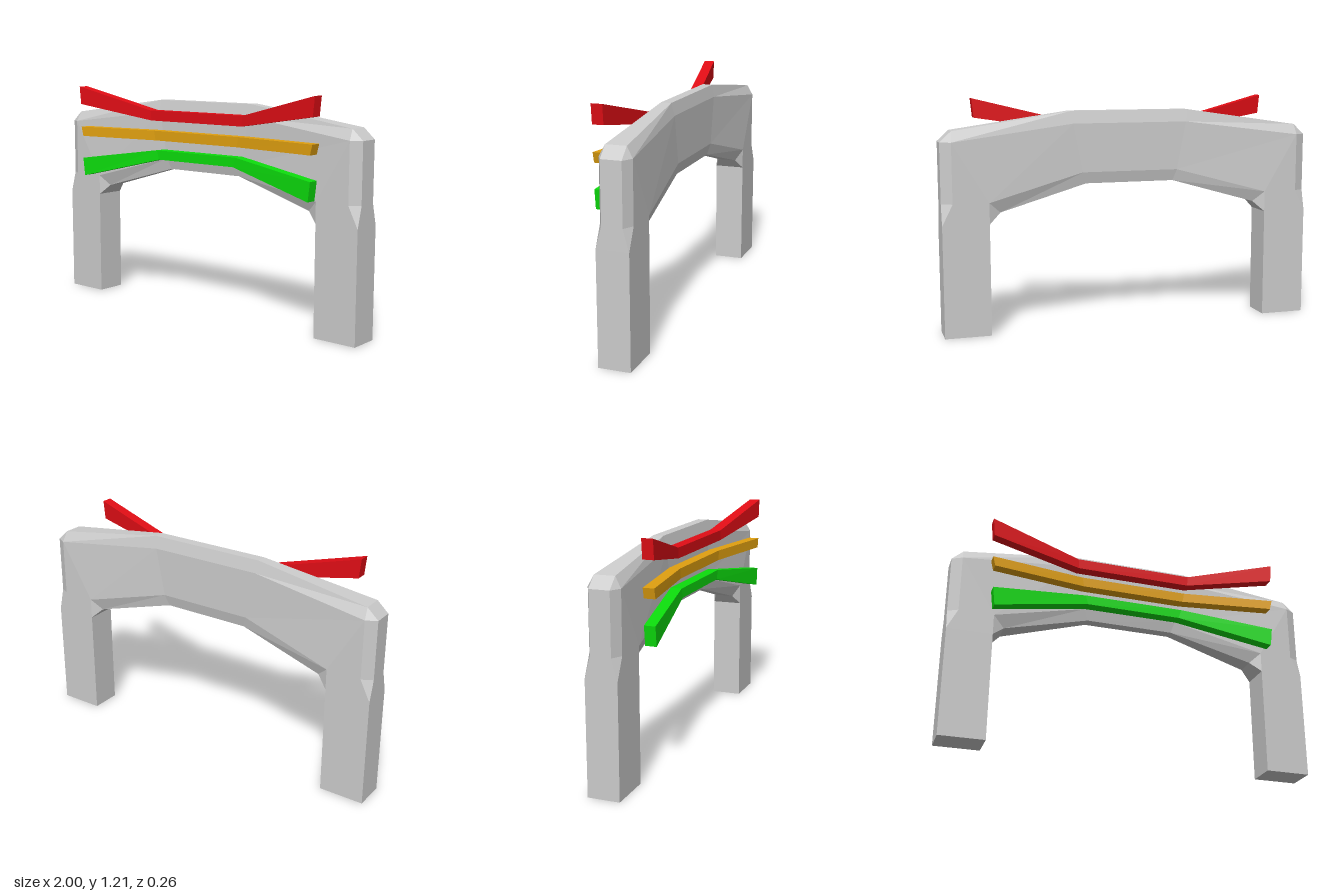
import * as THREE from 'three';

// Closed loft through rings of [x, y, z] points, capped at both ends
function loft(rings) {
  const pos = [];
  const tri = (a, b, c) => {
    const [p, q, r] = [a, b, c].map(v => new THREE.Vector3(...v));
    if (q.sub(p).cross(r.sub(p)).length() > 1e-7) pos.push(...a, ...b, ...c);
  };
  const n = rings[0].length;
  for (let i = 0; i < rings.length - 1; i++) {
    for (let j = 0; j < n; j++) {
      const k = (j + 1) % n;
      const a = rings[i][j], b = rings[i][k], c = rings[i + 1][k], d = rings[i + 1][j];
      tri(a, d, c);
      tri(a, c, b);
    }
  }
  const first = rings[0], last = rings[rings.length - 1];
  for (let j = 1; j < n - 1; j++) {
    tri(first[0], first[j], first[j + 1]);
    tri(last[0], last[j + 1], last[j]);
  }
  const g = new THREE.BufferGeometry();
  g.setAttribute('position', new THREE.Float32BufferAttribute(pos, 3));
  g.computeVertexNormals();
  return g;
}

// Right half of the rings is the left half mirrored, in reverse order
function mirrored(half) {
  const other = half.map(ring => ring.map(([x, y, z]) => [-x, y, z])).reverse();
  return loft([...half, ...other]);
}

function part(name, geometry, color) {
  const mesh = new THREE.Mesh(geometry, new THREE.MeshStandardMaterial({ color, flatShading: true }));
  mesh.name = name;
  return mesh;
}

// Arch section: outer edge, face top, face bottom, inner edge as [x, y, half depth]
const ARCH_Z = -0.0475;
function archRing(points) {
  const front = points.map(([x, y, h]) => [x, y, ARCH_Z + h]);
  const back = points.map(([x, y, h]) => [x, y, ARCH_Z - h]).reverse();
  return [...front, ...back];
}

// Bar bent at two points: end and middle as [x top, y top, x bottom, y bottom]
function bar(name, color, end, middle) {
  const ring = ([xt, yt, xb, yb], z0, z1) => [[xt, yt, z1], [xb, yb, z1], [xb, yb, z0], [xt, yt, z0]];
  return part(name, mirrored([ring(end, 0.075, 0.133), ring(middle, 0, 0.06)]), color);
}

export function createModel() {
  const model = new THREE.Group();
  model.name = 'archway';

  // Chamfered arch: square legs running up into a tapering beam
  const W = 0.0825, N = 0.0525, M = 0.0425, T = 0.0275;
  const leg = y => [[1, y, W], [1, y, W], [0.76, y, W], [0.76, y, W]];
  const innerCorner = [[0.76, 0.69, W], [0.7, 0.635, N]];
  const half = [
    leg(0),
    leg(0.58),
    [[1, 0.69, N], [0.945, 0.69, W], ...innerCorner],
    [[1, 1.0, N], [0.945, 1.0, W], ...innerCorner],
    [[0.94, 1.055, N], [0.945, 1.0, W], ...innerCorner],
    [[0.32, 1.145, T], [0.31, 1.08, M], [0.26, 0.825, M], [0.24, 0.765, T]],
  ].map(archRing);
  model.add(part('arch', mirrored(half), 0xcccccc));

  // Three coloured bars across the front
  model.add(
    bar('upperBar', 0xe00d15, [0.81, 1.21, 0.8, 1.11], [0.32, 1.09, 0.315, 1.035]),
    bar('middleBar', 0xe0a010, [0.8, 0.98, 0.787, 0.927], [0.295, 0.98, 0.285, 0.927]),
    bar('lowerBar', 0x0cdc0c, [0.79, 0.8, 0.778, 0.7], [0.275, 0.873, 0.26, 0.822]),
  );
  return model;
}
